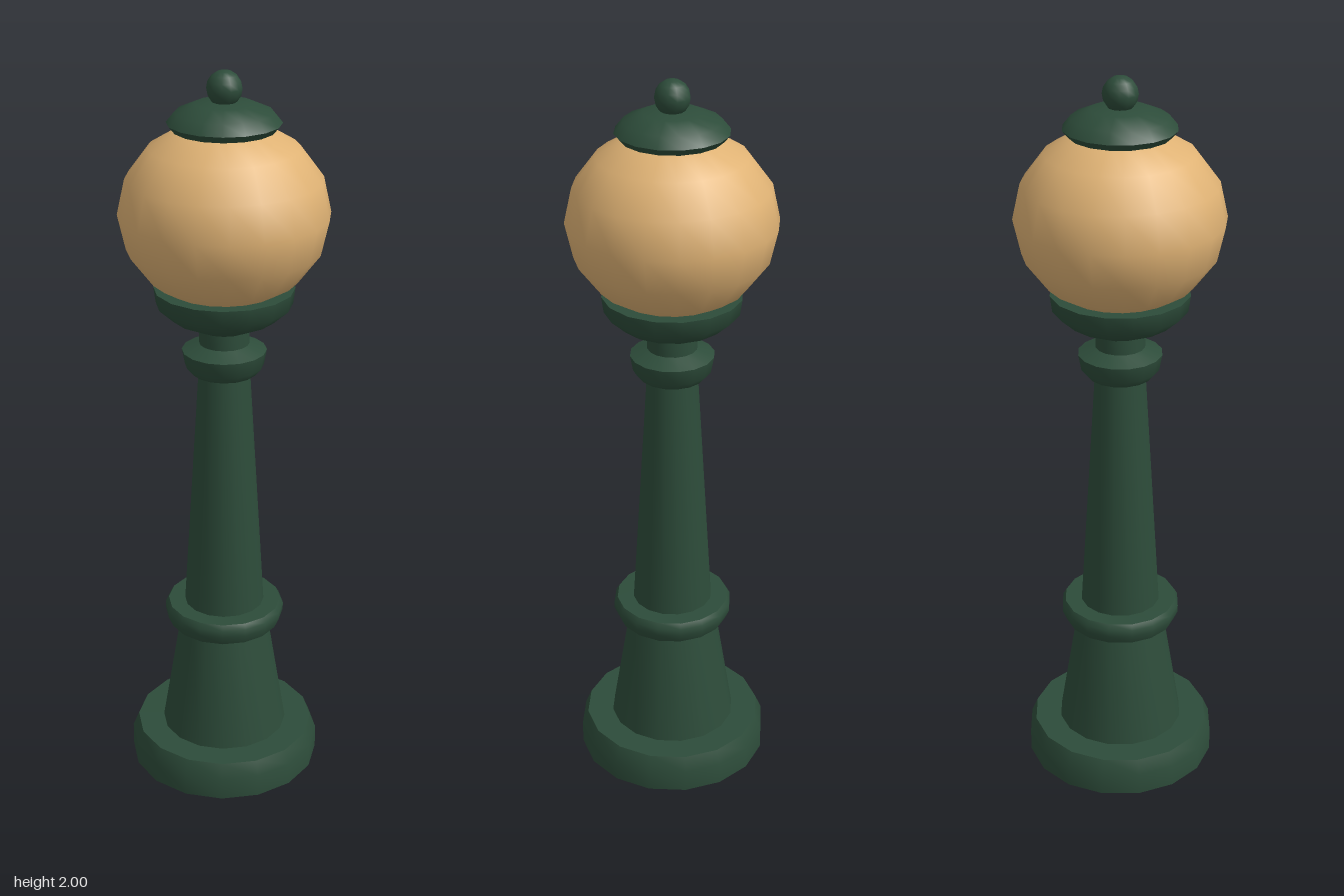
import * as THREE from 'three';
import { toCreasedNormals } from 'three/addons/utils/BufferGeometryUtils.js';

export function createModel() {
  const group = new THREE.Group();
  const green = new THREE.MeshStandardMaterial({ color: 0x2d4c3a });
  green.name = 'dark green iron';
  const amber = new THREE.MeshStandardMaterial({ color: 0xdfb274 });
  amber.name = 'amber glass';

  const add = (name, geometry, material) => {
    const mesh = new THREE.Mesh(geometry, material);
    mesh.name = name;
    group.add(mesh);
    return mesh;
  };
  // Turned part from [radius, height] pairs, bottom to top
  const turned = (name, profile) => {
    const points = profile.map(([r, y]) => new THREE.Vector2(r, y));
    return add(name, toCreasedNormals(new THREE.LatheGeometry(points, 16), 0.8), green);
  };

  // Foot and lower post
  turned('base', [[0, 0], [0.267, 0], [0.267, 0.065], [0.25, 0.105], [0, 0.105]]);
  turned('lowerPost', [[0.177, 0.1], [0.121, 0.45]]);
  turned('ringMoulding', [[0.1, 0.438], [0.154, 0.438], [0.166, 0.465], [0.166, 0.485], [0.157, 0.5], [0.1, 0.5]]);

  // Slim upper post, collar and neck
  turned('upperPost', [[0.111, 0.495], [0.068, 1.21]]);
  turned('collar', [[0.06, 1.195], [0.088, 1.195], [0.105, 1.215], [0.113, 1.258], [0.065, 1.278]]);
  turned('neck', [[0.067, 1.26], [0.067, 1.335]]);

  // Bowl holding the globe
  turned('bowl', [[0, 1.32], [0.072, 1.32], [0.14, 1.352], [0.18, 1.388], [0.186, 1.432], [0, 1.432]]);

  // Slightly flattened globe
  const globe = add('globe', new THREE.SphereGeometry(0.275, 20, 8), amber);
  globe.scale.y = 0.89;
  globe.position.y = 1.632;

  // Cap and finial
  turned('cap', [[0, 1.85], [0.132, 1.85], [0.147, 1.868], [0.125, 1.895], [0.075, 1.917], [0, 1.922]]);
  const finial = add('finial', new THREE.SphereGeometry(0.046, 12, 8), green);
  finial.position.y = 1.954;

  return group;
}
